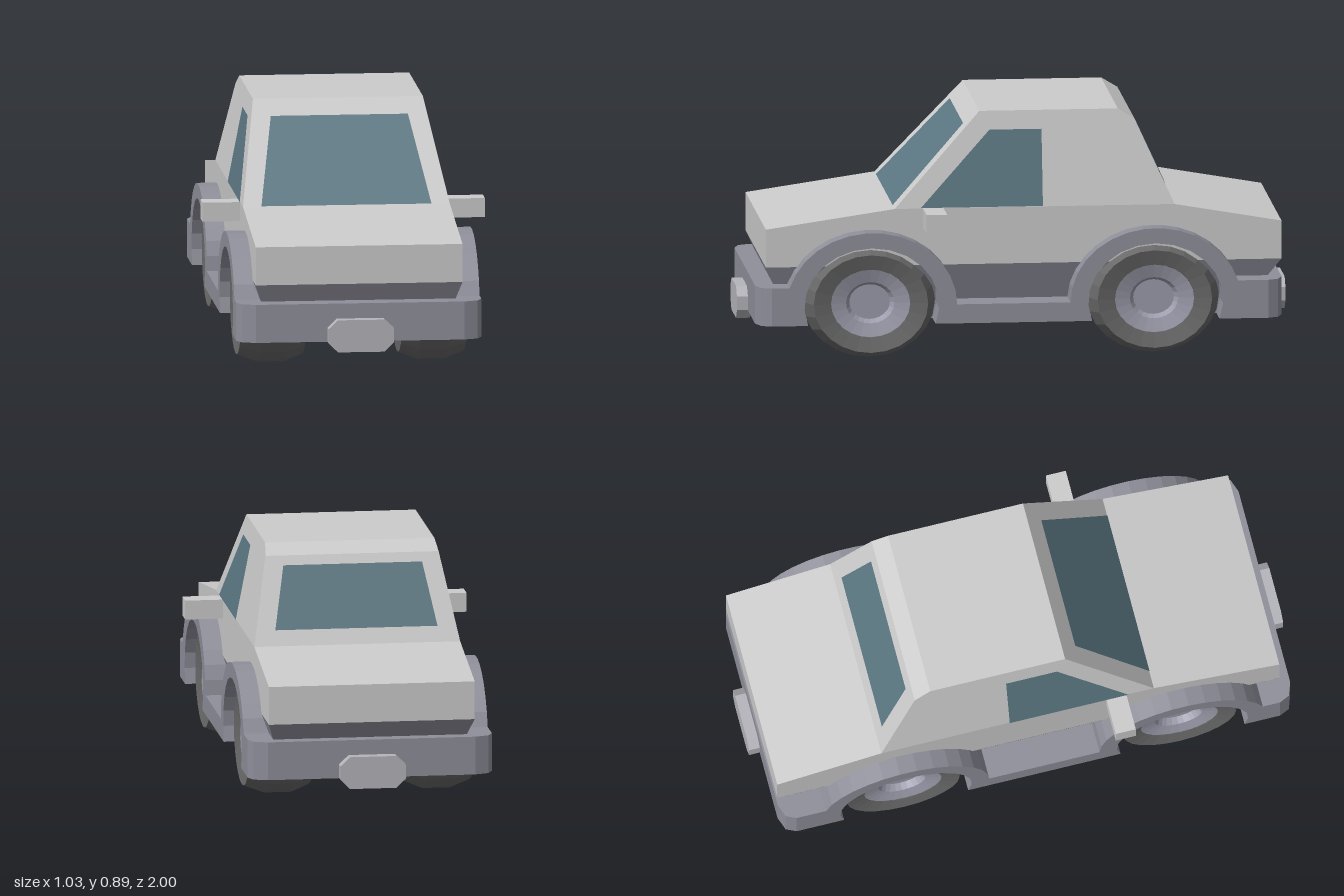
import * as THREE from 'three';

const mat = (color, side = THREE.FrontSide) =>
  new THREE.MeshStandardMaterial({ color, flatShading: true, side });

const AXLES = [0.54, -0.495]; // front and rear wheel centres along z
const AXLE_Y = 0.21;
const STRETCH = 1.16; // wheels and arches are slightly longer than tall

export function createModel() {
  const car = new THREE.Group();
  car.name = 'car';
  const paint = mat(0xcccccc);
  const trim = mat(0x8f8f9b);
  const glass = mat(0x5b7782, THREE.DoubleSide);
  const rubber = mat(0x686868);
  const metal = mat(0x9c9cac);

  const add = (name, geometry, material, parent = car) => {
    const mesh = new THREE.Mesh(geometry, material);
    mesh.name = name;
    parent.add(mesh);
    return mesh;
  };

  const toShape = (pts) => new THREE.Shape(pts.map(([a, b]) => new THREE.Vector2(a, b)));

  // Side profile of [z, y] points, extruded across x between x0 and x1
  const sideExtrude = (pts, x0, x1) => {
    const g = new THREE.ExtrudeGeometry(toShape(pts), { depth: x1 - x0, bevelEnabled: false });
    return g.rotateY(-Math.PI / 2).translate(x1, 0, 0);
  };

  const moveVertices = (g, rule) => {
    const p = g.attributes.position;
    const v = new THREE.Vector3();
    for (let i = 0; i < p.count; i++) {
      v.fromBufferAttribute(p, i);
      rule(v);
      p.setXYZ(i, v.x, v.y, v.z);
    }
    g.computeVertexNormals();
    return g;
  };

  // Flat four-cornered pane
  const pane = ([a, b, c, d]) => {
    const g = new THREE.BufferGeometry();
    g.setAttribute('position', new THREE.Float32BufferAttribute([a, b, c, a, c, d].flat(), 3));
    g.computeVertexNormals();
    return g;
  };

  // Lower body with sloping bonnet and boot
  add('body', sideExtrude([
    [0.92, 0.345], [0.92, 0.485], [0.45, 0.553], [-0.57, 0.553], [-0.96, 0.485], [-0.96, 0.345],
  ], -0.377, 0.377), paint);

  // Cabin, narrowing toward the roof
  const halfWidth = (y) => 0.377 - (y - 0.553) * 0.195;
  add('cabin', moveVertices(sideExtrude([
    [0.45, 0.553], [0.135, 0.897], [-0.37, 0.897], [-0.43, 0.86], [-0.57, 0.553],
  ], -1, 1), (v) => { v.x *= halfWidth(v.y); }), paint);

  // Skirt under the body, tapering inward as it goes down
  add('skirt', moveVertices(new THREE.BoxGeometry(2, 1, 2), (v) => {
    const top = v.y > 0;
    v.x *= top ? 0.377 : 0.33;
    v.z = v.z > 0 ? (top ? 0.92 : 0.86) : (top ? -0.96 : -0.86);
    v.y = top ? 0.345 : 0.21;
  }), trim);

  // Windows, lying just proud of the cabin faces
  const E = 0.003;
  const frontZ = (y) => 0.45 - (y - 0.553) * 0.916 + E;
  const rearZ = (y) => -0.57 + (y - 0.553) * 0.456 - E;
  const endWindow = (name, zAt, y0, x0, y1, x1) => add(name, pane([
    [-x0, y0, zAt(y0)], [x0, y0, zAt(y0)], [x1, y1, zAt(y1)], [-x1, y1, zAt(y1)],
  ]), glass);
  endWindow('windshield', frontZ, 0.555, 0.31, 0.842, 0.25);
  endWindow('rearWindow', rearZ, 0.608, 0.297, 0.827, 0.254);
  for (const [label, s] of [['left', 1], ['right', -1]]) {
    add(label + 'Window', pane(
      [[0.355, 0.555], [0.1, 0.83], [-0.09, 0.83], [-0.09, 0.555]]
        .map(([z, y]) => [s * (halfWidth(y) + E), y, z]),
    ), glass);
    const mirror = add(label + 'Mirror', new THREE.BoxGeometry(0.155, 0.07, 0.075), paint);
    mirror.position.set(s * 0.4375, 0.519, 0.31);
  }

  // Floor between the fenders
  add('floor', new THREE.BoxGeometry(0.66, 0.14, 1.75).translate(0, 0.21, 0.005), trim);

  // Fenders with raised arches, wheel openings and a low sill between
  const arc = (z, r, from, to, n = 14) => Array.from({ length: n + 1 }, (_, i) => {
    const a = THREE.MathUtils.degToRad(from + (to - from) * i / n);
    return [z + Math.cos(a) * r * STRETCH, AXLE_Y + Math.sin(a) * r];
  });
  const fender = [
    [0.88, 0.14], [0.88, 0.28],
    ...arc(AXLES[0], 0.268, 15.1, 180),
    ...arc(AXLES[1], 0.268, 0, 164.9),
    [-0.87, 0.28], [-0.87, 0.14],
    ...arc(AXLES[1], 0.212, 199.3, -19.3),
    ...arc(AXLES[0], 0.212, 199.3, -19.3),
  ];
  add('leftFender', sideExtrude(fender, 0.33, 0.447), trim);
  add('rightFender', sideExtrude(fender, -0.447, -0.33), trim);

  // Bumpers with chamfered corners, each carrying an eight-sided plate
  for (const [label, s, inner] of [['front', 1, 0.88], ['rear', -1, 0.87]]) {
    const half = [[0.447, inner], [0.447, 0.905], [0.43, 0.942], [0.38, 0.96]];
    const plan = [...half, ...half.map(([x, z]) => [-x, z]).reverse()]
      .map(([x, z]) => [x, -s * z]);
    const bumper = new THREE.ExtrudeGeometry(toShape(plan), { depth: 0.14, bevelEnabled: false });
    add(label + 'Bumper', bumper.rotateX(-Math.PI / 2).translate(0, 0.14, 0), trim);

    const plate = new THREE.ExtrudeGeometry(toShape([
      [-0.085, 0.107], [0.085, 0.107], [0.12, 0.142], [0.12, 0.192],
      [0.085, 0.225], [-0.085, 0.225], [-0.12, 0.192], [-0.12, 0.142],
    ]), { depth: 0.05, bevelEnabled: false });
    add(label + 'Plate', plate.translate(0, 0, s > 0 ? 0.95 : -1), mat(0xb4b4ba));
  }

  // Wheels: tyre and dished rim turned about the axle
  const turn = (pts) => new THREE.LatheGeometry(pts.map(([r, x]) => new THREE.Vector2(r, x)), 24)
    .rotateZ(-Math.PI / 2).scale(1, 1, STRETCH);
  const tyre = turn([
    [0, 0.175], [0.18, 0.175], [0.207, 0.24], [0.207, 0.34], [0.18, 0.413], [0.125, 0.4], [0.12, 0.38],
  ]);
  const rim = turn([[0.125, 0.398], [0.076, 0.385], [0.064, 0.36], [0, 0.36]]);
  AXLES.forEach((z, i) => {
    for (const [label, s] of [['Left', 1], ['Right', -1]]) {
      const wheel = new THREE.Group();
      wheel.name = (i ? 'rear' : 'front') + label + 'Wheel';
      add('tyre', tyre, rubber, wheel);
      add('rim', rim, metal, wheel);
      wheel.position.set(0, AXLE_Y, z);
      if (s < 0) wheel.rotation.y = Math.PI;
      car.add(wheel);
    }
  });

  return car;
}
